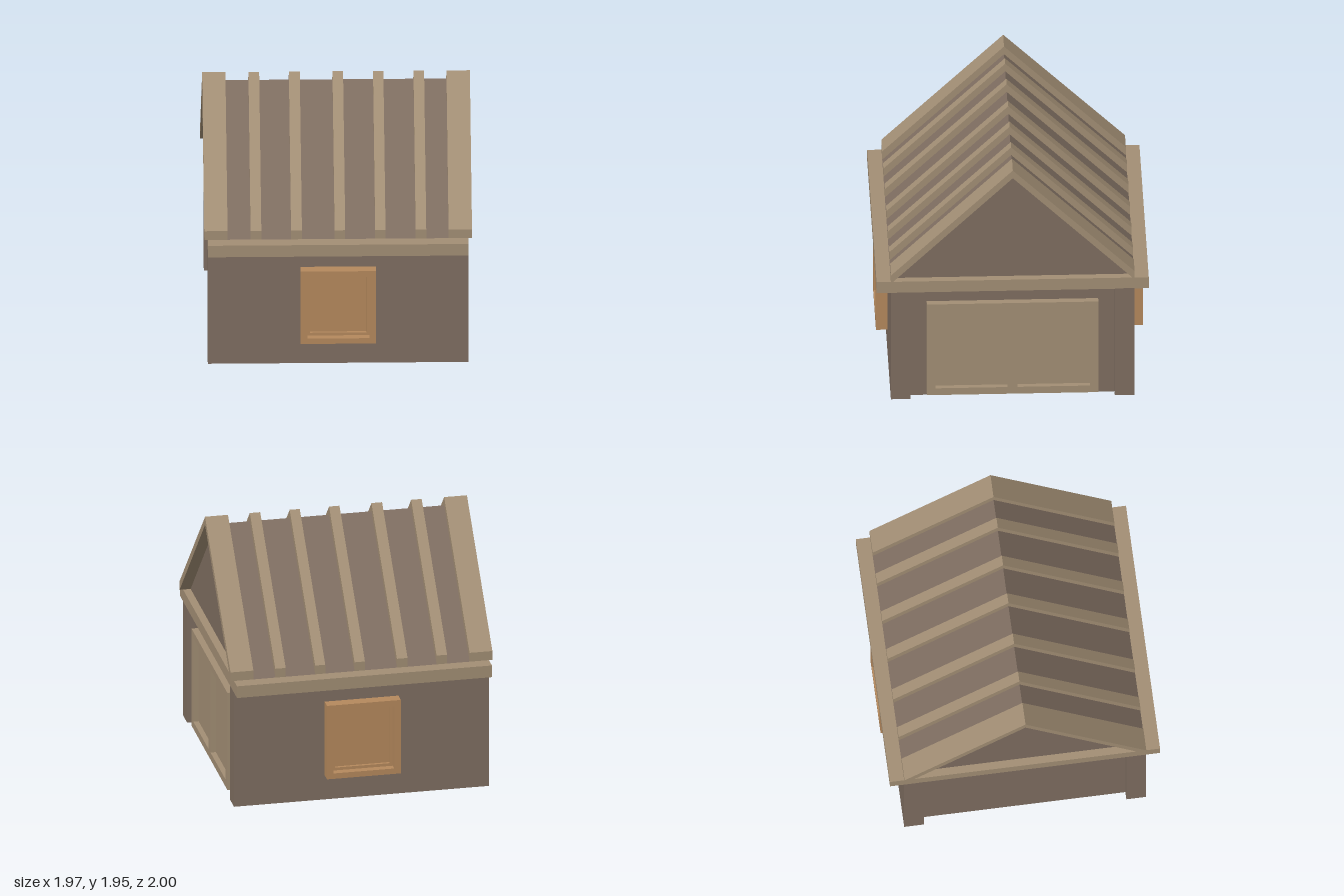
import * as THREE from 'three';

const paint = (color) => new THREE.MeshStandardMaterial({ color, flatShading: true });

export function createModel() {
  const model = new THREE.Group();
  const wall = paint(0x7f6e61), beam = paint(0xa38f75), wood = paint(0xb5895d);

  // box given by its min and max corners
  function box(parent, name, mat, [x0, y0, z0], [x1, y1, z1]) {
    const mesh = new THREE.Mesh(new THREE.BoxGeometry(x1 - x0, y1 - y0, z1 - z0), mat);
    mesh.position.set((x0 + x1) / 2, (y0 + y1) / 2, (z0 + z1) / 2);
    mesh.name = name;
    parent.add(mesh);
  }

  // outline in (x, y) with rectangular holes [x0, y0, x1, y1], extruded along +z
  function extrude(parent, name, mat, points, depth, holes = []) {
    const toPoints = (list) => list.map(([x, y]) => new THREE.Vector2(x, y));
    const shape = new THREE.Shape(toPoints(points));
    for (const [a, b, c, d] of holes) shape.holes.push(new THREE.Path(toPoints(rect(a, b, c, d))));
    const mesh = new THREE.Mesh(new THREE.ExtrudeGeometry(shape, { depth, bevelEnabled: false }), mat);
    mesh.name = name;
    parent.add(mesh);
    return mesh;
  }
  const rect = (a, b, c, d) => [[a, b], [c, b], [c, d], [a, d]];

  // walls: a core with a post on each corner
  box(model, 'walls', wall, [-0.9, 0, -0.895], [0.9, 0.91, 0.895]);
  for (const sx of [-1, 1]) for (const sz of [-1, 1]) {
    const xs = [0.9 * sx, 0.957 * sx].sort((a, b) => a - b);
    const zs = [0.75 * sz, 0.895 * sz].sort((a, b) => a - b);
    box(model, 'cornerPost', wall, [xs[0], 0, zs[0]], [xs[1], 0.91, zs[1]]);
  }

  // slab between walls and roof
  box(model, 'eavesSlab', beam, [-0.957, 0.907, -1], [0.957, 1, 1]);

  // roof body, a solid prism running along x
  const roof = new THREE.Group();
  roof.name = 'roof';
  const roofBody = extrude(roof, 'roofBody', wall, [[-0.895, 1], [0.895, 1], [0, 1.88]], 1.8);
  roofBody.rotation.y = Math.PI / 2;
  roofBody.position.x = -0.9;

  // chevron rafters lying over the roof, wide ones overhanging the gables
  const chevron = [[-0.895, 1], [0, 1.88], [0.895, 1], [0.895, 1.07], [0, 1.945], [-0.895, 1.07]];
  const rafters = [[-0.983, -0.812], [-0.643, -0.564], [-0.346, -0.266], [-0.026, 0.052],
    [0.272, 0.348], [0.569, 0.647], [0.811, 0.983]];
  for (const [x0, x1] of rafters) {
    const rafter = extrude(roof, 'rafter', beam, chevron, x1 - x0);
    rafter.rotation.y = Math.PI / 2;
    rafter.position.x = x0;
  }
  model.add(roof);

  // stepped windows on the front and back
  for (const side of [1, -1]) {
    const win = new THREE.Group();
    win.name = side > 0 ? 'frontWindow' : 'backWindow';
    const frame = extrude(win, 'windowFrame', wood, rect(-0.277, 0.193, 0.277, 0.777), 0.09, [[-0.228, 0.236, 0.228, 0.73]]);
    frame.position.z = 0.89;
    const sash = extrude(win, 'windowSash', wood, rect(-0.228, 0.236, 0.228, 0.73), 0.035, [[-0.206, 0.258, 0.206, 0.708]]);
    sash.position.z = 0.89;
    box(win, 'windowPane', wood, [-0.206, 0.258, 0.885], [0.206, 0.708, 0.903]);
    win.rotation.y = side > 0 ? 0 : Math.PI;
    model.add(win);
  }

  // double door with two sunk panels, on the +x wall only
  const door = new THREE.Group();
  door.name = 'door';
  extrude(door, 'doorFrame', beam, rect(-0.63, 0.025, 0.63, 0.797), 0.05,
    [[-0.568, 0.082, -0.037, 0.745], [0.037, 0.082, 0.568, 0.745]]);
  for (const s of [-1, 1]) {
    box(door, 'doorPanel', beam, [0.302 * s - 0.267, 0.08, -0.01], [0.302 * s + 0.267, 0.747, 0.01]);
  }
  door.rotation.y = Math.PI / 2;
  door.position.x = 0.9;
  model.add(door);

  return model;
}
